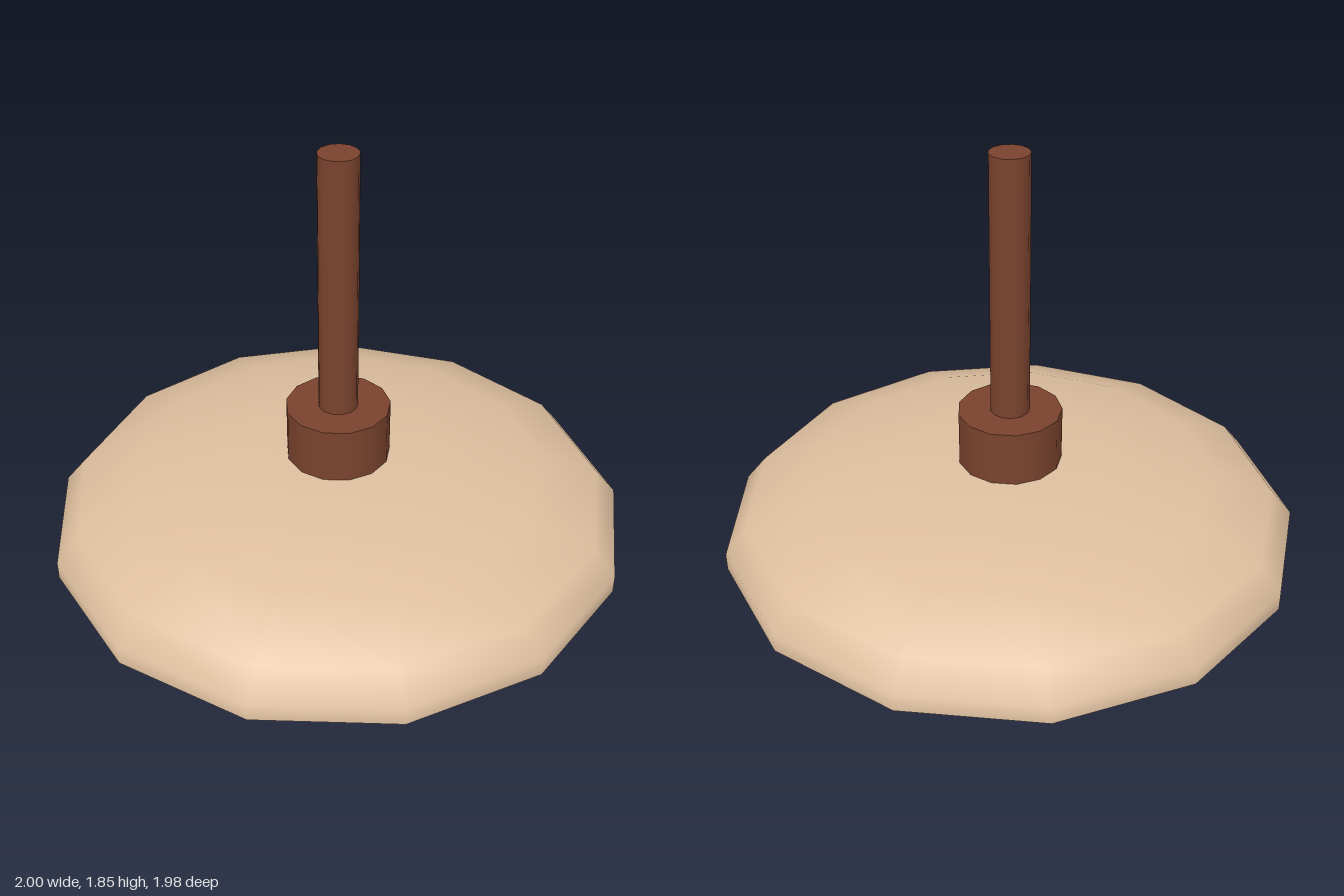
import * as THREE from 'three';

const SIDES = 13;

export function createModel() {
  const model = new THREE.Group();
  model.name = 'pendantLamp';

  const tan = new THREE.MeshStandardMaterial({ name: 'tan', color: 0xdebf9f });
  const brown = new THREE.MeshStandardMaterial({ name: 'brown', color: 0x7a432e });
  const glass = new THREE.MeshStandardMaterial({ name: 'paleGrey', color: 0xd9d7d0, side: THREE.DoubleSide });

  const add = (name, geometry, material, y = 0) => {
    const mesh = new THREE.Mesh(geometry, material);
    mesh.name = name;
    mesh.position.y = y;
    model.add(mesh);
  };
  // All parts are turned with one corner pointing to the back
  const lathe = (profile) => new THREE.LatheGeometry(
    profile.map(([r, y]) => new THREE.Vector2(r, y)), SIDES, Math.PI, Math.PI * 2);
  const rod = (r, h) => new THREE.CylinderGeometry(r, r, h, SIDES, 1, false, Math.PI);

  // Wide shallow shade with a flat underside
  add('shade', lathe([[1.007, 0.425], [1.007, 0.487], [0.93, 0.582], [0.71, 0.67], [0.363, 0.73], [0, 0.733]]), tan);
  add('shadeUnderside', lathe([[0.78, 0.425], [1.007, 0.425]]), tan);

  // Rounded diffuser bowl below the shade
  add('bowl', lathe([[0, 0], [0.17, 0.016], [0.335, 0.05], [0.617, 0.182], [0.806, 0.385], [0.822, 0.43]]), glass);

  // Collar and hanging stem
  add('collar', rod(0.18, 0.2), brown, 0.825);
  add('stem', rod(0.068, 0.945), brown, 1.3725);

  // An odd number of sides is off-centre in depth, so shift to balance it
  for (const part of model.children) part.position.z = 0.0146;
  return model;
}
